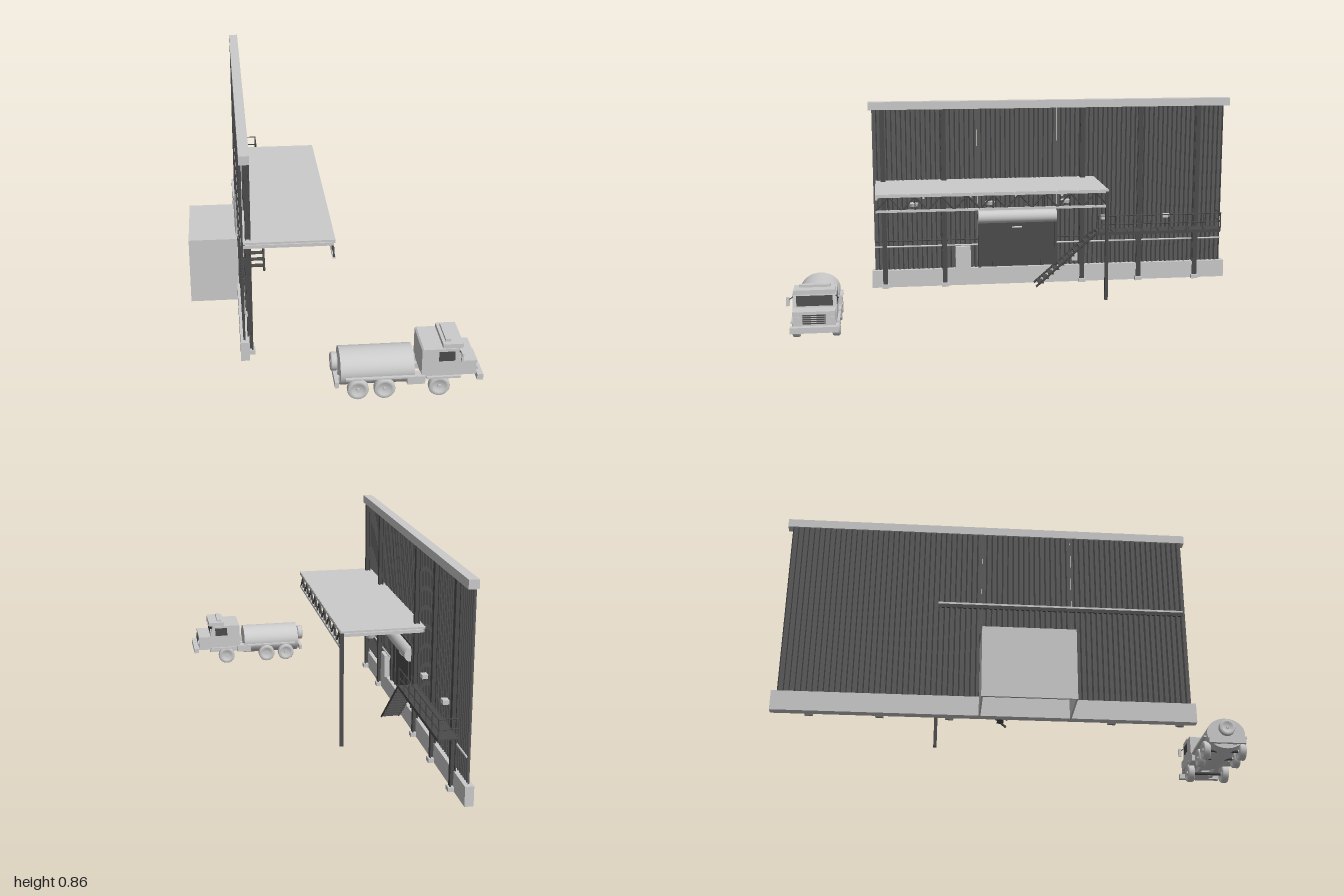
import * as THREE from 'three';

const grey = new THREE.MeshStandardMaterial({ color: 0xcccccc });
const dark = new THREE.MeshStandardMaterial({ color: 0x4c4c4c });
const sheet = new THREE.MeshStandardMaterial({ color: 0x5c5c5c, flatShading: true, side: THREE.DoubleSide });

function add(parent, name, geometry, material = grey) {
  const mesh = new THREE.Mesh(geometry, material);
  mesh.name = name;
  parent.add(mesh);
  return mesh;
}

// Box given by its limits on each axis
function box(parent, name, [x0, x1], [y0, y1], [z0, z1], material) {
  const mesh = add(parent, name, new THREE.BoxGeometry(x1 - x0, y1 - y0, z1 - z0), material);
  mesh.position.set((x0 + x1) / 2, (y0 + y1) / 2, (z0 + z1) / 2);
  return mesh;
}

// Round bar between two points
function rod(parent, name, a, b, radius, material = dark, sides = 8) {
  const p = new THREE.Vector3(...a), q = new THREE.Vector3(...b);
  const d = q.clone().sub(p);
  const mesh = add(parent, name, new THREE.CylinderGeometry(radius, radius, d.length(), sides), material);
  mesh.position.copy(p).add(q).multiplyScalar(0.5);
  mesh.quaternion.setFromUnitVectors(new THREE.Vector3(0, 1, 0), d.normalize());
  return mesh;
}

function group(parent, name) {
  const g = new THREE.Group();
  g.name = name;
  parent.add(g);
  return g;
}

// Corrugated cladding: a plane whose columns step in and out
function cladding(parent, z0, z1, y0, y1) {
  const n = Math.round((z1 - z0) / 0.0055);
  const g = new THREE.PlaneGeometry(z1 - z0, y1 - y0, n, 1);
  const p = g.attributes.position;
  for (let i = 0; i < p.count; i++) p.setZ(i, (i % (n + 1)) % 4 < 2 ? 0.004 : -0.004);
  g.rotateY(Math.PI / 2);
  g.translate(-0.33, (y0 + y1) / 2, (z0 + z1) / 2);
  add(parent, 'corrugatedCladding', g, sheet);
}

function buildWall(root) {
  const wall = group(root, 'wall');
  box(wall, 'plinth', [-0.345, -0.31], [0, 0.08], [-1, 0.67]);
  box(wall, 'topBeam', [-0.335, -0.295], [0.825, 0.86], [-1, 0.67]);
  cladding(wall, -0.98, -0.19, 0.08, 0.83);
  cladding(wall, -0.19, 0.18, 0.36, 0.83);
  cladding(wall, 0.18, 0.655, 0.08, 0.83);

  // H-section columns on small footings
  for (const z of [0.61, 0.335, -0.308, -0.58, -0.853]) {
    box(wall, 'columnFlange', [-0.3, -0.295], [0, 0.825], [z - 0.011, z + 0.011], dark);
    box(wall, 'columnFlange', [-0.317, -0.312], [0.02, 0.825], [z - 0.011, z + 0.011], dark);
    box(wall, 'columnWeb', [-0.312, -0.3], [0.02, 0.825], [z - 0.003, z + 0.003], dark);
    box(wall, 'footing', [-0.315, -0.287], [0, 0.018], [z - 0.016, z + 0.016]);
  }
  // Pipes along the wall
  for (const [z0, z1] of [[-0.98, -0.19], [0.18, 0.655]]) {
    rod(wall, 'wallPipe', [-0.318, 0.19, z0], [-0.318, 0.19, z1], 0.004, grey);
  }
  rod(wall, 'upperPipe', [-0.318, 0.217, 0.18], [-0.318, 0.217, 0.655], 0.003);
  rod(wall, 'upperPipe', [-0.318, 0.217, -0.36], [-0.318, 0.217, -0.19], 0.003);
  box(wall, 'cabinet', [-0.325, -0.3], [0.08, 0.185], [0.215, 0.285]);
  box(wall, 'switchBox', [-0.325, -0.308], [0.1, 0.135], [-0.29, -0.262]);
  for (const z of [-0.415, -0.712]) box(wall, 'wallLamp', [-0.325, -0.3], [0.297, 0.315], [z - 0.016, z + 0.016]);
}

function buildGate(root) {
  const gate = group(root, 'gateBay');
  // Hollow chamber behind the opening, without floor or front
  const x = [-0.545, -0.34], y = [0, 0.29];
  box(gate, 'chamberBack', [-0.545, -0.538], y, [-0.195, 0.17]);
  box(gate, 'chamberSide', x, y, [-0.195, -0.188]);
  box(gate, 'chamberSide', x, y, [0.163, 0.17]);
  box(gate, 'chamberRoof', x, [0.283, 0.29], [-0.195, 0.17]);
  // Frame, roller and door rail
  for (const z of [-0.19, 0.17]) box(gate, 'gateJamb', [-0.338, -0.318], [0.08, 0.36], [z - 0.005, z + 0.008], dark);
  box(gate, 'gateLintel', [-0.338, -0.322], [0.335, 0.36], [-0.19, 0.175], dark);
  rod(gate, 'rollerDrum', [-0.318, 0.32, -0.188], [-0.318, 0.32, 0.178], 0.03, grey, 28);
  box(gate, 'doorCurtain', [-0.331, -0.327], [0.08, 0.295], [-0.185, 0.165], dark);
  for (const z of [-0.12, 0.11]) box(gate, 'doorRib', [-0.327, -0.322], [0.08, 0.29], [z - 0.003, z + 0.003], dark);
  rod(gate, 'doorHandle', [-0.321, 0.267, -0.026], [-0.321, 0.267, 0.02], 0.004, grey);
}

function buildCanopy(root) {
  const canopy = group(root, 'canopy');
  const z0 = -0.365, z1 = 0.645;
  box(canopy, 'roofSheet', [-0.335, 0.025], [0.491, 0.499], [z0, z1]);
  // Beams running out from the wall, with purlins between
  for (let i = 0; i <= 5; i++) {
    const z = z0 + 0.005 + (i * (z1 - z0 - 0.01)) / 5;
    box(canopy, 'crossBeam', [-0.33, 0.02], [0.475, 0.488], [z - 0.005, z + 0.005]);
  }
  box(canopy, 'wallBeam', [-0.335, -0.32], [0.475, 0.491], [z0, z1], dark);
  // Front truss
  box(canopy, 'topChord', [0.014, 0.026], [0.485, 0.497], [z0, z1]);
  box(canopy, 'bottomChord', [0.015, 0.025], [0.42, 0.43], [z0, z1]);
  const n = 18, step = (z1 - z0) / n;
  for (let i = 0; i < n; i++) {
    const up = i % 2;
    rod(canopy, 'trussDiagonal', [0.02, up ? 0.488 : 0.427, z0 + i * step],
      [0.02, up ? 0.427 : 0.488, z0 + (i + 1) * step], 0.0035);
    if (up) rod(canopy, 'trussUpright', [0.02, 0.427, z0 + i * step], [0.02, 0.488, z0 + i * step], 0.003);
  }
  box(canopy, 'cornerPost', [0.013, 0.028], [0, 0.49], [z0 - 0.002, z0 + 0.012], dark);
  // Hanging lamps
  for (const z of [-0.2, 0.14, 0.48]) {
    rod(canopy, 'lampCord', [-0.135, 0.428, z], [-0.135, 0.492, z], 0.0015);
    add(canopy, 'lampShade', new THREE.CylinderGeometry(0.022, 0.018, 0.014, 20)).position.set(-0.135, 0.422, z);
  }
}

function buildStair(root) {
  const stair = group(root, 'stairAndWalkway');
  const xa = -0.295, xb = -0.218;
  // Planked platform
  for (let i = 0; i < 8; i++) {
    const z = -0.95 + i * 0.0735;
    box(stair, 'plank', [xa, xb], [0.246, 0.253], [z, z + 0.07], dark);
  }
  for (const x of [xa, xb]) box(stair, 'platformEdge', [x - 0.002, x + 0.002], [0.24, 0.254], [-0.95, -0.36], dark);
  // Railing with end return
  for (const y of [0.29, 0.33]) {
    rod(stair, 'rail', [xb, y, -0.95], [xb, y, -0.37], 0.0025);
    rod(stair, 'endRail', [xa, y, -0.95], [xb, y, -0.95], 0.0025);
  }
  for (let i = 0; i < 8; i++) {
    const z = -0.95 + (i * 0.58) / 7;
    rod(stair, 'railPost', [xb, 0.25, z], [xb, 0.332, z], 0.0025);
  }
  // Stair flight
  for (const x of [xa, xb]) rod(stair, 'stringer', [x, 0.005, -0.08], [x, 0.25, -0.362], 0.005, dark, 4);
  for (let i = 1; i <= 11; i++) {
    const y = i * 0.0208, z = -0.08 - i * 0.0238;
    box(stair, 'tread', [xa, xb], [y - 0.002, y + 0.002], [z - 0.013, z + 0.013], dark);
  }
}

// Tyre with rim and hub, axis along z
function wheel(parent, x, y, z, radius, width, name) {
  const w = group(parent, name);
  w.position.set(x, y, z);
  const r = radius, h = width / 2;
  const profile = [[0, -h * 0.5], [r * 0.5, -h * 0.5], [r * 0.6, -h], [r * 0.92, -h], [r, -h * 0.6],
    [r, h * 0.6], [r * 0.92, h], [r * 0.6, h], [r * 0.5, h * 0.5], [0, h * 0.5]];
  const g = new THREE.LatheGeometry(profile.map(p => new THREE.Vector2(...p)), 24);
  add(w, 'tyre', g.rotateX(Math.PI / 2));
  rod(w, 'hub', [0, 0, -h], [0, 0, h], r * 0.18, grey, 12);
  return w;
}

function buildTruck(root) {
  const truck = group(root, 'tankTruck');
  truck.position.z = 0.885;
  // Chassis and axles
  for (const s of [-1, 1]) box(truck, 'chassisRail', [-0.008, 0.46], [0.047, 0.07], [s * 0.035 - 0.008, s * 0.035 + 0.008]);
  box(truck, 'rearCrossMember', [-0.008, 0.006], [0.047, 0.07], [-0.08, 0.08]);
  for (const x of [0.077, 0.176, 0.38]) {
    rod(truck, 'axle', [x, 0.04, -0.07], [x, 0.04, 0.07], 0.007);
    for (const s of [-1, 1]) wheel(truck, x, 0.04, s * 0.078, 0.04, 0.03, 'wheel');
  }
  // Oval tank and its side walkways
  const tank = add(truck, 'tank', new THREE.CylinderGeometry(1, 1, 0.274, 40).rotateZ(Math.PI / 2));
  tank.scale.set(1, 0.068, 0.083);
  tank.position.set(0.15, 0.097, 0);
  for (const s of [-1, 1]) {
    box(truck, 'walkway', [0.03, 0.27], [0.085, 0.091], [s * 0.086 - 0.01, s * 0.086 + 0.01]);
    box(truck, 'sideBox', [0.258, 0.325], [0.058, 0.09], [s * 0.075 - 0.02, s * 0.075 + 0.02]);
    box(truck, 'frontFender', [0.33, 0.458], [0.076, 0.084], [s * 0.08 - 0.015, s * 0.08 + 0.015]);
    rod(truck, 'mirrorArm', [0.452, 0.185, s * 0.082], [0.46, 0.172, s * 0.1], 0.002);
    box(truck, 'mirror', [0.455, 0.462], [0.15, 0.185], [s * 0.101 - 0.007, s * 0.101 + 0.007]);
    rod(truck, 'headlamp', [0.515, 0.108, s * 0.066], [0.523, 0.108, s * 0.066], 0.013, grey, 16);
  }
  const spare = wheel(truck, -0.006, 0.115, 0, 0.035, 0.025, 'spareWheel');
  spare.rotation.y = Math.PI / 2;
  // Cab with a sloping windscreen
  const side = new THREE.Shape([[0.312, 0.082], [0.458, 0.082], [0.458, 0.14], [0.448, 0.195], [0.318, 0.195], [0.312, 0.19]]
    .map(p => new THREE.Vector2(...p)));
  add(truck, 'cab', new THREE.ExtrudeGeometry(side, { depth: 0.17, bevelEnabled: false })).position.z = -0.085;
  const glass = box(truck, 'windscreen', [-0.002, 0.002], [-0.02, 0.02], [-0.07, 0.07], dark);
  glass.position.set(0.4535, 0.166, 0);
  glass.rotation.z = 0.18;
  for (const s of [-1, 1]) box(truck, 'sideWindow', [0.375, 0.435], [0.145, 0.184], [s * 0.085 - 0.001, s * 0.085 + 0.001], dark);
  box(truck, 'roofVisor', [0.39, 0.465], [0.195, 0.212], [-0.08, 0.08]);
  box(truck, 'roofLampBar', [0.402, 0.422], [0.212, 0.222], [-0.06, 0.06]);
  // Hood, grille and bumper
  box(truck, 'hood', [0.455, 0.517], [0.082, 0.14], [-0.082, 0.082]);
  for (let i = 0; i < 5; i++) box(truck, 'grilleBar', [0.517, 0.521], [0.092 + i * 0.008, 0.096 + i * 0.008], [-0.045, 0.045], dark);
  box(truck, 'bumperBracket', [0.45, 0.525], [0.06, 0.08], [-0.04, 0.04]);
  box(truck, 'bumper', [0.52, 0.543], [0.062, 0.085], [-0.092, 0.092]);
}

export function createModel() {
  const model = new THREE.Group();
  model.name = 'warehouseFacadeWithTruck';
  buildWall(model);
  buildGate(model);
  buildCanopy(model);
  buildStair(model);
  buildTruck(model);
  return model;
}
